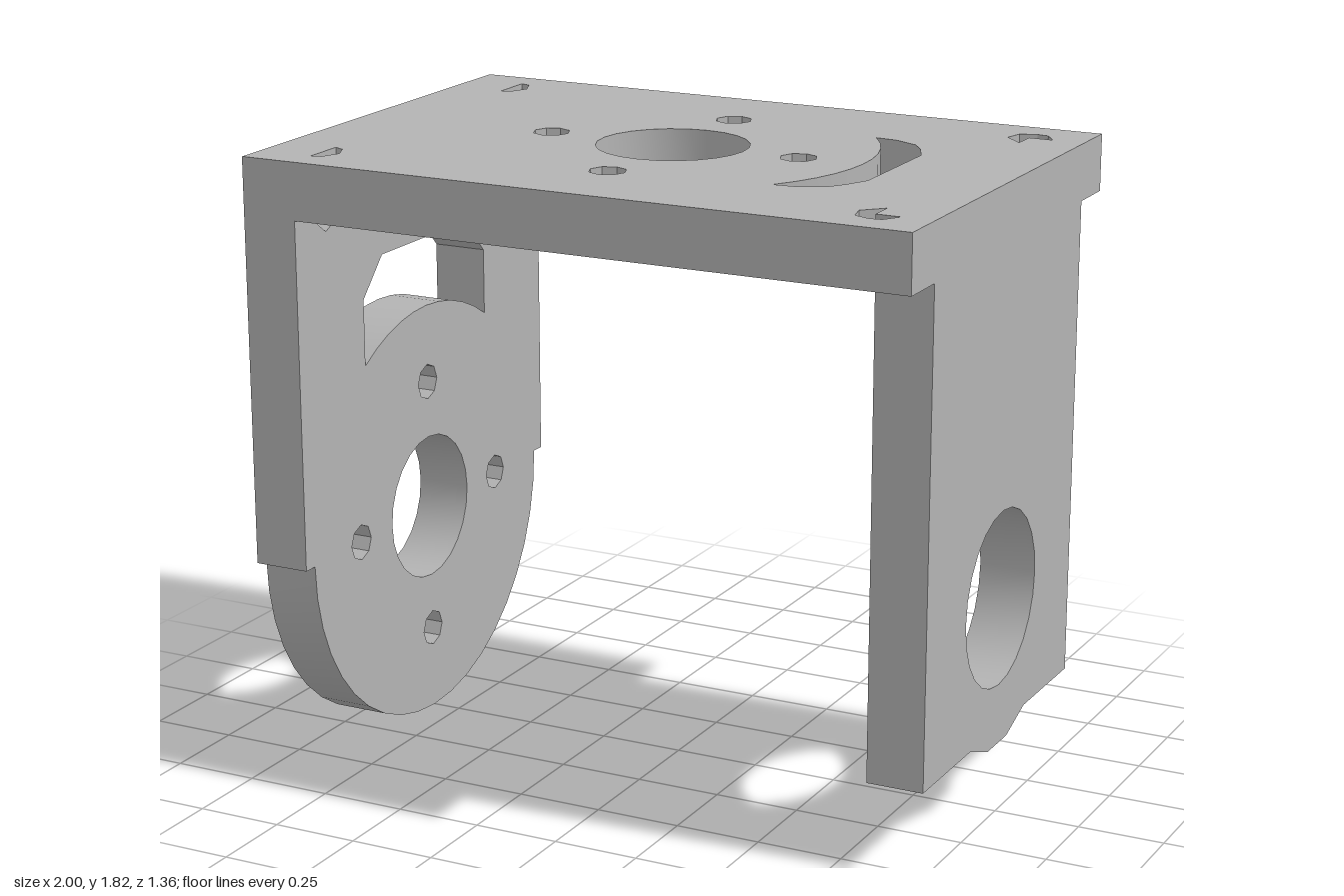
import * as THREE from 'three';
import { toCreasedNormals } from 'three/addons/utils/BufferGeometryUtils.js';

const V = (x, y) => new THREE.Vector2(x, y);
const T = 0.165;       // plate thickness
const UNDER = 1.65;    // underside of the top plate
const AXIS = 0.635;    // height of the side bores

// points along an arc, both ends included
function arc(cx, cy, r, from, to, n) {
  const pts = [];
  for (let i = 0; i <= n; i++) {
    const a = from + (to - from) * i / n;
    pts.push(V(cx + r * Math.cos(a), cy + r * Math.sin(a)));
  }
  return pts;
}

const circle = (cx, cy, r, n) => arc(cx, cy, r, 0, Math.PI * 2, n).slice(0, n);

// centre bore with four screw holes around it
function boltPattern(cx, cy) {
  const holes = [circle(cx, cy, 0.217, 24)];
  for (let i = 0; i < 4; i++) {
    const a = i * Math.PI / 2;
    holes.push(circle(cx + 0.387 * Math.cos(a), cy + 0.387 * Math.sin(a), 0.053, 8));
  }
  return holes;
}

function plate(outline, holes) {
  const shape = new THREE.Shape(outline);
  holes.forEach(h => shape.holes.push(new THREE.Path(h)));
  return new THREE.ExtrudeGeometry(shape, { depth: T, bevelEnabled: false });
}

export function createModel() {
  const group = new THREE.Group();
  const metal = new THREE.MeshStandardMaterial({ color: 0xb3b3b3 });
  metal.name = 'greyMetal';
  const add = (name, geo) => {
    const mesh = new THREE.Mesh(toCreasedNormals(geo, 0.5), metal);
    mesh.name = name;
    group.add(mesh);
  };

  // top plate: bolt pattern, curved slot and four corner holes
  const topHoles = boltPattern(-0.018, 0);
  topHoles.push([
    ...arc(-0.02, 0, 0.582, -0.625, 0.625, 10),
    V(0.515, 0.335), V(0.59, 0.3), V(0.625, 0.25), V(0.657, 0.18),
    V(0.657, -0.18), V(0.625, -0.25), V(0.59, -0.3), V(0.515, -0.335),
  ]);
  for (const s of [-1, 1]) {
    topHoles.push([V(-0.835, 0.59 * s), V(-0.805, 0.58 * s), V(-0.782, 0.525 * s),
      V(-0.805, 0.475 * s), V(-0.835, 0.46 * s)]);
    topHoles.push([V(0.835, 0.46 * s), V(0.78, 0.515 * s), V(0.793, 0.57 * s), V(0.84, 0.588 * s),
      V(0.875, 0.583 * s), V(0.907, 0.535 * s), V(0.835, 0.535 * s)]);
  }
  const top = plate([V(-1, -0.68), V(1, -0.68), V(1, 0.68), V(-1, 0.68)], topHoles);
  top.rotateX(-Math.PI / 2).translate(0, UNDER, 0);
  add('topPlate', top);

  // wide side plate: rounded foot, notches under the top plate, bolt pattern, curved slot
  const notch = [V(0.59, UNDER), V(0.57, 1.62), V(0.525, 1.588), V(0.48, 1.61), V(0.462, UNDER)];
  const wideOutline = [
    V(-0.68, AXIS), ...arc(0, AXIS, 0.635, Math.PI, Math.PI * 2, 20), V(0.68, AXIS),
    V(0.68, UNDER), ...notch, ...notch.map(p => V(-p.x, p.y)).reverse(), V(-0.68, UNDER),
  ];
  const wideHoles = boltPattern(0, AXIS);
  wideHoles.push([
    ...arc(0, AXIS, 0.62, Math.PI / 2 - 0.58, Math.PI / 2 + 0.58, 10),
    V(-0.34, 1.35), V(-0.235, 1.46), V(0.235, 1.46), V(0.34, 1.35),
  ]);
  const wide = plate(wideOutline, wideHoles);
  wide.rotateY(Math.PI / 2).translate(-1, 0, 0);
  add('wideSidePlate', wide);

  // narrow side plate: one large bore and a shallow bulge at its foot
  const narrow = plate([
    V(-0.53, 0.25), V(-0.2, 0.25), V(-0.07, 0.203), V(0.07, 0.203), V(0.2, 0.25), V(0.53, 0.25),
    V(0.53, UNDER), V(-0.53, UNDER),
  ], [circle(0, AXIS, 0.255, 24)]);
  narrow.rotateY(Math.PI / 2).translate(1 - T, 0, 0);
  add('narrowSidePlate', narrow);

  return group;
}
